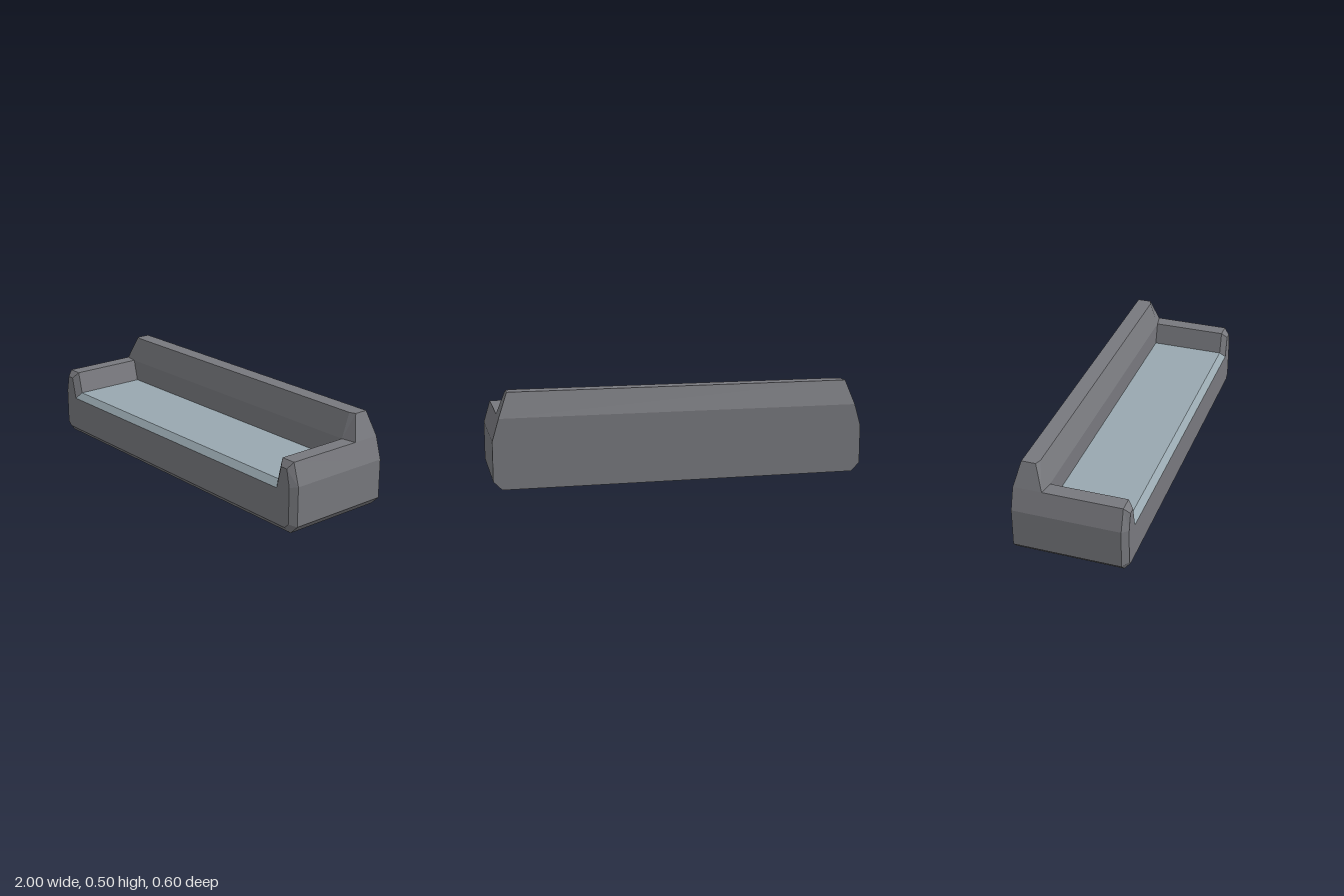
import * as THREE from 'three';

// Mesh made of flat convex faces, each a list of [x, y, z] corners, anticlockwise from outside
function facesMesh(name, material, faces) {
  const pos = [];
  for (const f of faces)
    for (let i = 1; i < f.length - 1; i++) pos.push(...f[0], ...f[i], ...f[i + 1]);
  const geo = new THREE.BufferGeometry();
  geo.setAttribute('position', new THREE.Float32BufferAttribute(pos, 3));
  geo.computeVertexNormals();
  const mesh = new THREE.Mesh(geo, material);
  mesh.name = name;
  return mesh;
}

// Right half of an outline mirrored into a closed loop
const mirror = (half) => [...half, ...half.map(([x, y]) => [-x, y]).reverse()];

export function createModel() {
  const grey = new THREE.MeshStandardMaterial({ color: 0x77787d });
  grey.name = 'frame grey';
  const blue = new THREE.MeshStandardMaterial({ color: 0x98a7af });
  blue.name = 'seat blue grey';

  const group = new THREE.Group();
  group.name = 'sofa';

  const zBack = -0.3, zRest = -0.135, zCorner = -0.148, zBevel = 0.27, zFront = 0.3;

  // Cross-section of base and arms, and its inset copy on the front face
  const outline = mirror([[0.955, 0], [1, 0.046], [1, 0.255], [0.965, 0.373], [0.885, 0.373], [0.857, 0.255]]);
  const inset = mirror([[0.942, 0.033], [0.968, 0.058], [0.968, 0.25], [0.948, 0.341], [0.908, 0.341], [0.88, 0.222]]);
  const at = ([x, y], z) => [x, y, z];
  const isInner = (i) => i >= 4 && i <= 7;

  // Long faces and front bevel; the edge between the arms is the seat
  const frame = [], seat = [];
  outline.forEach((a, i) => {
    const j = (i + 1) % outline.length;
    const b = outline[j];
    const edgeInner = isInner(i) || isInner(j);
    const start = (k) => (isInner(k) ? zRest : edgeInner ? zCorner : zBack);
    const target = i === 5 ? seat : frame;
    target.push([at(a, start(i)), at(b, start(j)), at(b, zBevel), at(a, zBevel)]);
    target.push([at(a, zBevel), at(b, zBevel), at(inset[j], zFront), at(inset[i], zFront)]);
  });

  // Back wall
  frame.push(outline.filter((p, i) => !isInner(i)).reverse().map((p) => at(p, zBack)));
  group.add(facesMesh('baseAndArms', grey, frame), facesMesh('seat', blue, seat));

  // Front panel
  const frontGeo = new THREE.ShapeGeometry(new THREE.Shape(inset.map(([x, y]) => new THREE.Vector2(x, y))));
  frontGeo.translate(0, 0, zFront);
  const front = new THREE.Mesh(frontGeo, grey);
  front.name = 'frontPanel';
  group.add(front);

  // Tapered backrest with chamfered front corners, and the wall below it
  const ring = (xIn, xOut, y, zF, zC, zB) => [
    [-xIn, y, zF], [xIn, y, zF], [xOut, y, zC], [xOut, y, zB], [-xOut, y, zB], [-xOut, y, zC],
  ];
  const low = ring(0.885, 0.965, 0.373, zRest, zCorner, zBack);
  const top = ring(0.885, 0.918, 0.503, -0.18, -0.192, -0.267);
  const rest = low.map((p, i) => {
    const j = (i + 1) % low.length;
    return [p, low[j], top[j], top[i]];
  });
  rest.push(top);
  rest.push([at(outline[6], zRest), at(outline[5], zRest), at(outline[4], zRest), at(outline[7], zRest)]);
  group.add(facesMesh('backrest', grey, rest));

  return group;
}
